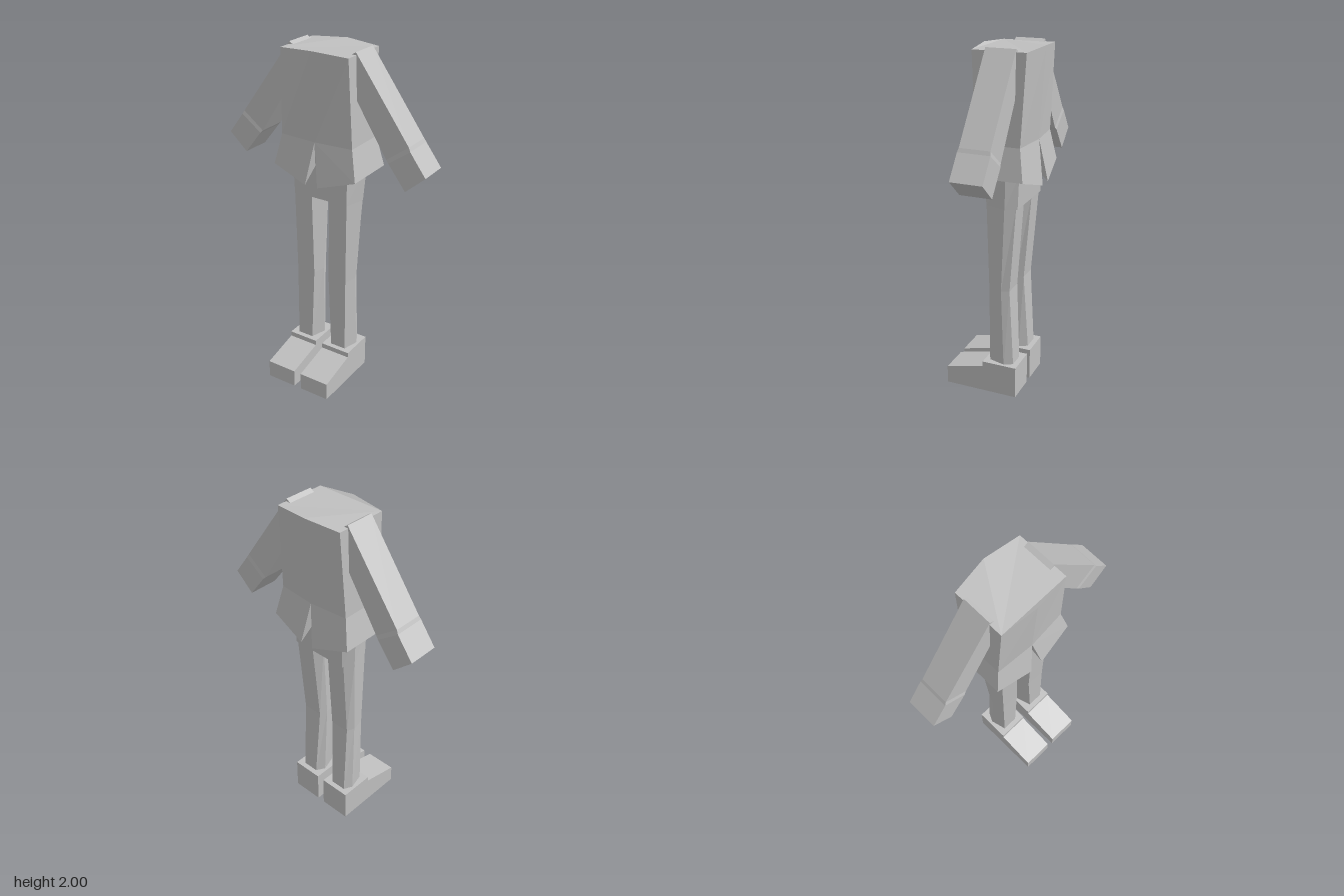
import * as THREE from 'three';

const grey = new THREE.MeshStandardMaterial({ color: 0xc0c0c0 });
grey.name = 'plain grey';

// Flat-shaded mesh from a list of polygons, each fanned into triangles
function polyMesh(name, polys) {
  const pos = [];
  for (const p of polys)
    for (let i = 1; i < p.length - 1; i++) pos.push(...p[0], ...p[i], ...p[i + 1]);
  const geo = new THREE.BufferGeometry();
  geo.setAttribute('position', new THREE.Float32BufferAttribute(pos, 3));
  geo.computeVertexNormals();
  const mesh = new THREE.Mesh(geo, grey);
  mesh.name = name;
  return mesh;
}

// Closed skin over rings given from bottom to top, counter-clockwise from above
function loft(rings) {
  const polys = [[...rings[0]].reverse(), rings[rings.length - 1]];
  for (let k = 0; k < rings.length - 1; k++) {
    const a = rings[k], b = rings[k + 1];
    a.forEach((p, i) => {
      const j = (i + 1) % a.length;
      polys.push([p, a[j], b[j], b[i]]);
    });
  }
  return polys;
}

const mirror = (polys) => polys.map((p) => p.map(([x, y, z]) => [-x, y, z]).reverse());

// Six-sided section: narrow front and back, widest at zm
const hexRing = (y, xi, xo, xI, xO, zf, zm, zb) => [
  [xi, y, zf], [xo, y, zf], [xO, y, zm], [xo, y, zb], [xi, y, zb], [xI, y, zm],
];

function jacketBody() {
  // Six-sided section with a ridge down the middle of the front and back
  const ring = (y, yc, x, zf, zfc, zb, zbc) => [
    [-x, y, zf], [0, yc, zfc], [x, y, zf], [x, y, zb], [0, yc, zbc], [-x, y, zb],
  ];
  return polyMesh('jacketBody', loft([
    ring(1.5, 1.5, 0.225, 0.053, 0.07, -0.2, -0.22),
    ring(1.985, 1.997, 0.208, 0.075, 0.098, -0.225, -0.252),
  ]));
}

function jacketSkirt() {
  const waist = [[0, 1.5, 0.07], [0.225, 1.5, 0.053], [0.225, 1.5, -0.2], [0, 1.5, -0.22]];
  const hem = [[0.04, 1.255, 0.106], [0.262, 1.325, 0.08], [0.262, 1.325, -0.23], [0.04, 1.255, -0.26]];
  const inner = [[0.03, 1.34, 0.018], [0.03, 1.34, -0.17]];
  const flip = ([x, y, z]) => [-x, y, z];
  const half = [];
  for (let i = 0; i < 3; i++) half.push([waist[i], hem[i], hem[i + 1], waist[i + 1]]);
  // Underside and slit walls
  half.push(
    [hem[0], inner[0], hem[1]],
    [inner[0], inner[1], hem[2], hem[1]],
    [inner[1], hem[3], hem[2]],
    [waist[0], inner[0], hem[0]],
    [waist[3], hem[3], inner[1]],
  );
  const slits = [
    [waist[0], flip(inner[0]), inner[0]],
    [waist[3], inner[1], flip(inner[1])],
  ];
  return polyMesh('jacketSkirt', [...half, ...mirror(half), ...slits]);
}

// Sleeve running from the cuff end up to the shoulder
function sleevePolys() {
  const ring = (xi, yi, xo, yo, zf, zb) => [[xi, yi, zf], [xo, yo, zf], [xo, yo, zb], [xi, yi, zb]];
  return loft([
    ring(0.52, 1.315, 0.632, 1.415, 0.005, -0.173),
    ring(0.415, 1.45, 0.538, 1.54, 0.005, -0.173),
    ring(0.4, 1.465, 0.527, 1.56, 0, -0.168),
    ring(0.19, 1.79, 0.205, 2.0, 0, -0.168),
    ring(0.17, 1.8, 0.17, 1.98, 0, -0.168),
  ]);
}

const legPolys = () => loft([
  hexRing(0.17, 0.07, 0.165, 0.04, 0.19, 0.0, -0.095, -0.145),
  hexRing(0.65, 0.05, 0.165, 0.035, 0.182, 0.003, -0.075, -0.12),
  hexRing(1.16, 0.058, 0.172, 0.025, 0.205, 0.014, -0.105, -0.16),
]);

function hips() {
  return polyMesh('hips', loft([
    hexRing(1.145, -0.172, 0.172, -0.205, 0.205, 0.015, -0.106, -0.168),
    hexRing(1.34, -0.177, 0.177, -0.218, 0.218, 0.02, -0.115, -0.178),
  ]));
}

// Shoe: side outline swept across its width
function shoe(name, side) {
  const w = 0.184;
  const shape = new THREE.Shape([
    [0.26, 0], [0.26, 0.105], [0.03, 0.16], [0.03, 0.19], [-0.175, 0.19], [-0.175, 0],
  ].map(([z, y]) => new THREE.Vector2(-z, y)));
  const geo = new THREE.ExtrudeGeometry(shape, { depth: w, bevelEnabled: false });
  geo.translate(0, 0, -w / 2).rotateY(Math.PI / 2);
  const mesh = new THREE.Mesh(geo, grey);
  mesh.position.x = side * 0.115;
  mesh.name = name;
  return mesh;
}

export function createModel() {
  const model = new THREE.Group();
  model.name = 'headlessFigure';
  model.add(jacketBody(), jacketSkirt(), hips());
  model.add(polyMesh('leftSleeve', sleevePolys()), polyMesh('rightSleeve', mirror(sleevePolys())));
  model.add(polyMesh('leftLeg', legPolys()), polyMesh('rightLeg', mirror(legPolys())));
  model.add(shoe('leftShoe', 1), shoe('rightShoe', -1));
  return model;
}
